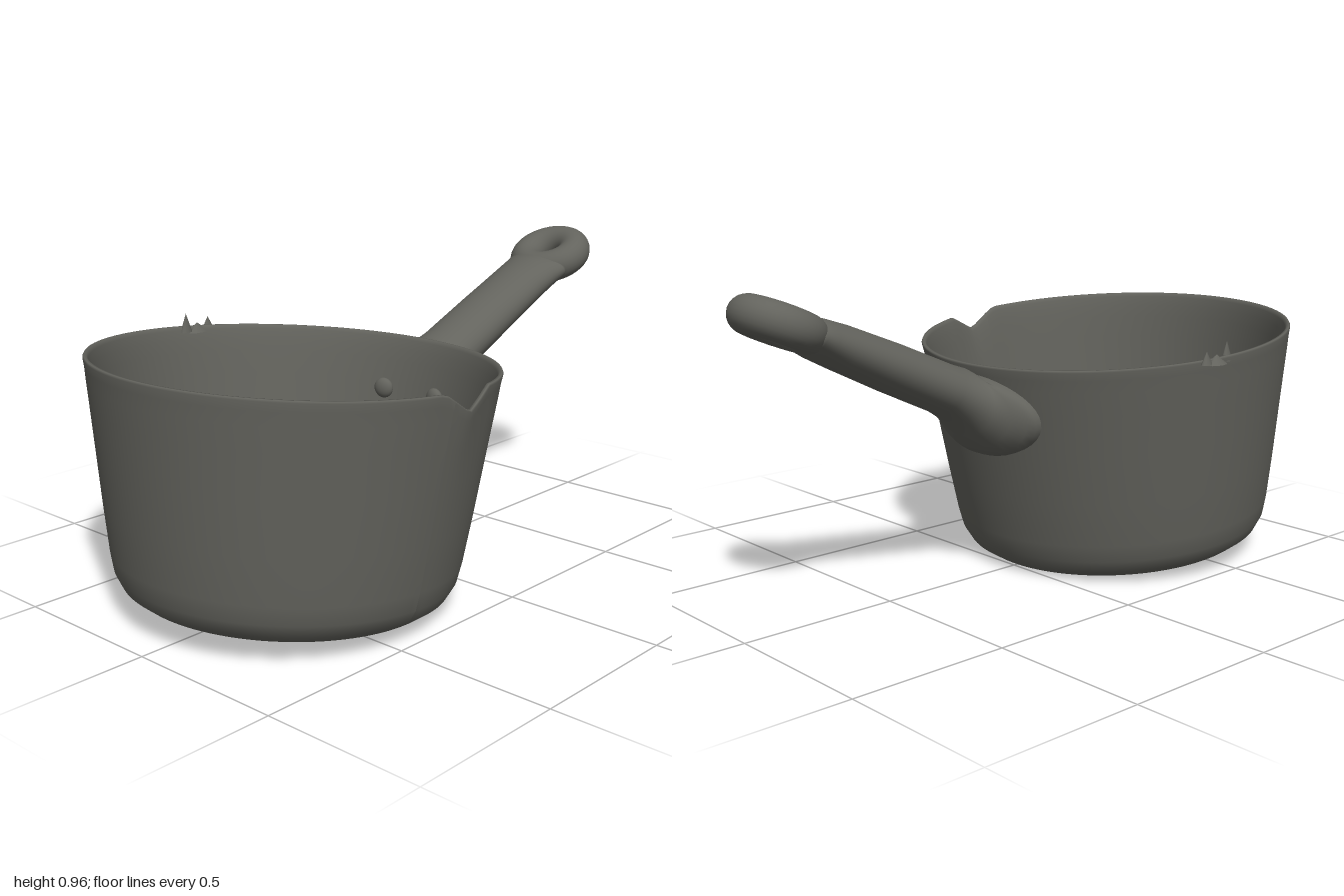
import * as THREE from 'three';

const iron = new THREE.MeshStandardMaterial({ color: 0x63635d });
iron.name = 'dark iron';

function part(name, geometry, x = 0, y = 0, z = 0) {
  const mesh = new THREE.Mesh(geometry, iron);
  mesh.name = name;
  mesh.position.set(x, y, z);
  return mesh;
}

// Tapered bowl with a wall, rounded base and a pouring notch on the front rim
function bowlGeometry() {
  const profile = [
    [0, 0], [0.25, 0], [0.4, 0.002], [0.45, 0.01], [0.485, 0.035], [0.507, 0.075], [0.519, 0.13],
    [0.54, 0.27], [0.562, 0.43], [0.58, 0.56], [0.59, 0.63], [0.595, 0.67], [0.6, 0.696],
    [0.597, 0.702], [0.589, 0.702], [0.584, 0.69], [0.577, 0.66], [0.57, 0.62], [0.56, 0.55],
    [0.542, 0.42], [0.52, 0.27], [0.499, 0.13], [0.485, 0.08], [0.46, 0.045], [0.42, 0.027],
    [0.25, 0.024], [0, 0.024],
  ].map(([r, y]) => new THREE.Vector2(r, y));
  const geo = new THREE.LatheGeometry(profile, 144);
  const p = geo.attributes.position;
  for (let i = 0; i < p.count; i++) {
    const angle = Math.atan2(p.getX(i), p.getZ(i)) - 0.12;
    const tent = Math.max(0, 1 - Math.abs(angle) / 0.18);
    const nearRim = THREE.MathUtils.smoothstep(p.getY(i), 0.45, 0.7);
    p.setY(i, p.getY(i) - 0.06 * tent * nearRim);
  }
  geo.computeVertexNormals();
  return geo;
}

// Handle shaft lofted through ellipses, flaring into a flange that hugs the wall
function shaftGeometry() {
  // x, y, half width, half thickness, tilt, wrap around the bowl
  const sections = [
    [0.152, 0.53, 0.22, 0.13, -0.22, 0.86],
    [0.176, 0.53, 0.222, 0.132, -0.22, 0.86],
    [0.195, 0.535, 0.21, 0.125, -0.16, 0.8],
    [0.212, 0.55, 0.175, 0.112, -0.03, 0.7],
    [0.23, 0.575, 0.14, 0.098, 0.16, 0.4],
    [0.26, 0.603, 0.118, 0.085, 0.32, 0.1],
    [0.31, 0.629, 0.108, 0.077, 0.42, 0],
    [0.5, 0.715, 0.105, 0.074, 0.42, 0],
    [0.68, 0.796, 0.105, 0.066, 0.42, 0],
    [0.75, 0.826, 0.11, 0.06, 0.42, 0],
    [0.79, 0.843, 0.119, 0.052, 0.42, 0],
    [0.808, 0.851, 0.115, 0.038, 0.42, 0],
    [0.812, 0.853, 0.001, 0.001, 0.42, 0],
  ];
  const sides = 40, positions = [], index = [];
  sections.forEach(([x, y, hz, hy, tilt, wrap], i) => {
    for (let j = 0; j < sides; j++) {
      const t = (j / sides) * Math.PI * 2;
      const z = hz * Math.cos(t), up = hy * Math.sin(t);
      positions.push(x - Math.sin(tilt) * up - wrap * z * z, y + Math.cos(tilt) * up, z);
      if (i === sections.length - 1) continue;
      const a = i * sides + j, b = i * sides + (j + 1) % sides;
      index.push(a, a + sides, b, b, a + sides, b + sides);
    }
  });
  const geo = new THREE.BufferGeometry();
  geo.setAttribute('position', new THREE.Float32BufferAttribute(positions, 3));
  geo.setIndex(index);
  geo.computeVertexNormals();
  return geo;
}

export function createModel() {
  const model = new THREE.Group();
  model.name = 'saucepan';

  // Bowl leans slightly toward the handle
  const bowl = part('bowl', bowlGeometry(), -0.455, 0.035, 0);
  bowl.rotation.z = -0.078;
  model.add(bowl);

  // Handle with a rounded hanging eye
  const handle = new THREE.Group();
  handle.name = 'handle';
  const eye = new THREE.TorusGeometry(0.086, 0.054, 24, 48);
  eye.rotateX(Math.PI / 2).rotateZ(0.42);
  handle.add(part('shaft', shaftGeometry()), part('hangingEye', eye, 0.868, 0.878, 0));
  handle.position.z = -0.02;
  model.add(handle);

  // Rivet heads on the inner wall
  for (const [x, y, z] of [[0.122, 0.52, -0.13], [0.128, 0.52, 0.08], [-0.02, 0.52, 0.39]]) {
    const rivet = part('rivet', new THREE.SphereGeometry(0.033, 20, 12), x, y, z);
    rivet.rotation.y = -Math.atan2(z, x + 0.42);
    rivet.scale.x = 0.6;
    model.add(rivet);
  }

  // Rough burrs on the back rim
  for (const [x, y, r, h] of [[-0.32, 0.74, 0.022, 0.06], [-0.23, 0.728, 0.022, 0.04], [-0.275, 0.72, 0.04, 0.03]]) {
    const burr = part('rimBurr', new THREE.ConeGeometry(r, h, 12), x, y, -0.58);
    burr.scale.z = 0.6;
    model.add(burr);
  }
  return model;
}
